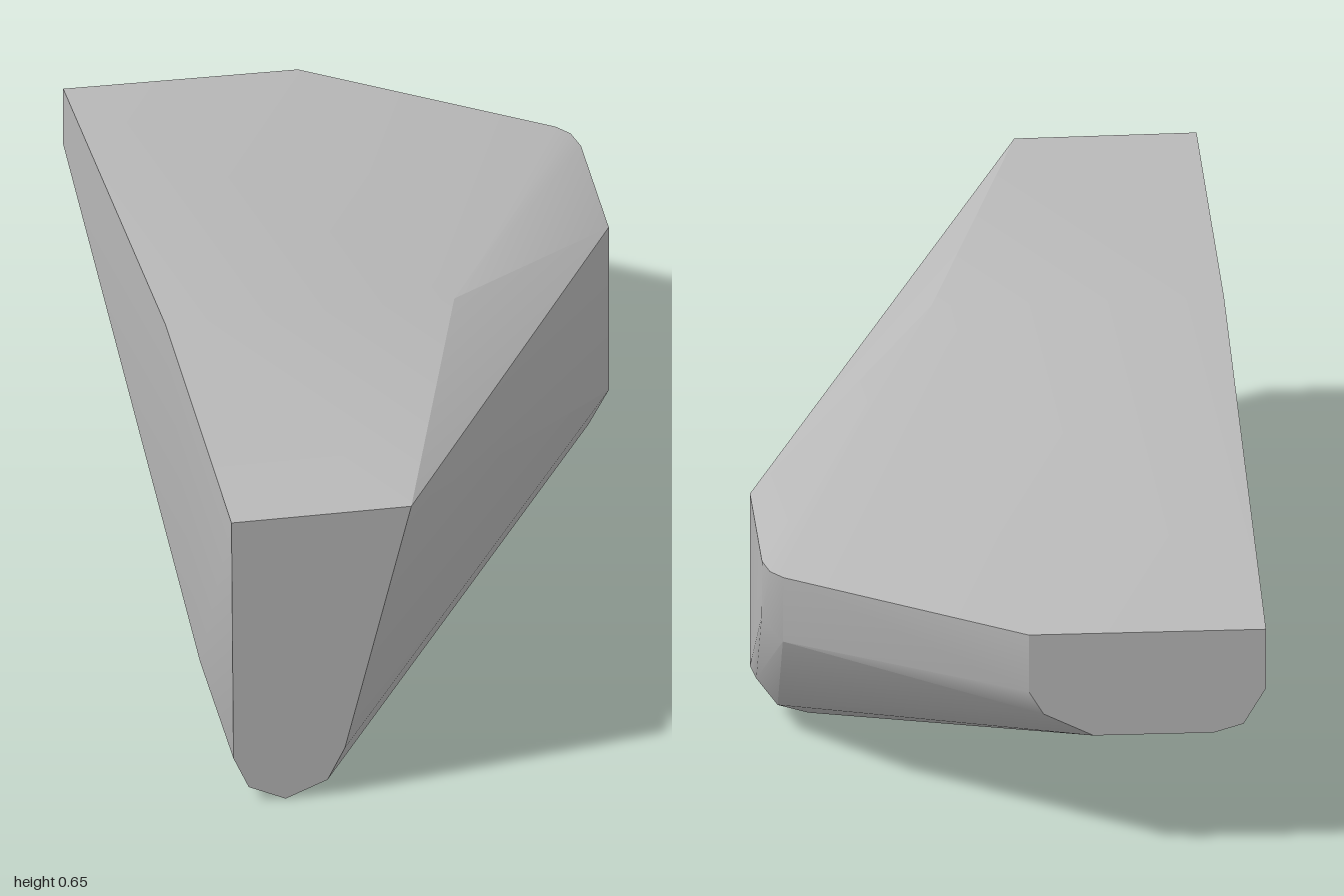
import * as THREE from 'three';
import { ConvexGeometry } from 'three/addons/geometries/ConvexGeometry.js';
import { toCreasedNormals } from 'three/addons/utils/BufferGeometryUtils.js';

// Outline corners [x, y] placed on an end plane whose depth comes from zAt(x)
const section = (outline, zAt) => outline.map(([x, y]) => new THREE.Vector3(x, y, zAt(x)));
const points = (list) => list.map((p) => new THREE.Vector3(...p));

export function createModel() {
  const grey = new THREE.MeshStandardMaterial({ color: 0xb8b8b8 });
  grey.name = 'grey';

  // Tall narrow front end, rounded at the bottom
  const front = section([
    [-0.44, 0.655], [-0.075, 0.655], [-0.21, 0.105], [-0.245, 0.035],
    [-0.33, 0], [-0.405, 0.035], [-0.436, 0.105],
  ], (x) => 1 - 0.041 * (x + 0.44));

  // Low wide back end with bevelled lower corners
  const back = section([
    [-0.505, 0.485], [-0.03, 0.485], [-0.03, 0.36], [-0.06, 0.31],
    [-0.16, 0.26], [-0.4, 0.26], [-0.46, 0.278], [-0.505, 0.355],
  ], (x) => -0.99 - 0.021 * (x + 0.505));

  // End of the flat top, where it starts to slope back
  const topBreak = points([[-0.466, 0.655, 0.22], [0.12, 0.655, 0.2]]);

  // Bulging side: upright front edge, rounded base and rear corner
  const bulge = points([
    [0.502, 0.485, -0.31], [0.502, 0.105, -0.31], [0.46, 0.035, -0.3], [0.385, 0, -0.31],
    [0.492, 0.11, -0.38], [0.45, 0.06, -0.4],
    [0.49, 0.485, -0.63], [0.45, 0.485, -0.71], [0.476, 0.485, -0.68],
    [0.49, 0.36, -0.62], [0.45, 0.33, -0.68],
  ]);

  // Lower edge of the flat side, where the belly starts to rise
  const belly = points([[-0.451, 0.105, 0.62], [-0.408, 0.035, 0.6], [-0.34, 0, 0.65]]);

  const hull = new ConvexGeometry([...front, ...back, ...topBreak, ...bulge, ...belly]);
  const body = new THREE.Mesh(toCreasedNormals(hull, 0.5), grey);
  body.name = 'facetedBody';

  const model = new THREE.Group();
  model.name = 'facetedBlock';
  model.add(body);
  return model;
}
